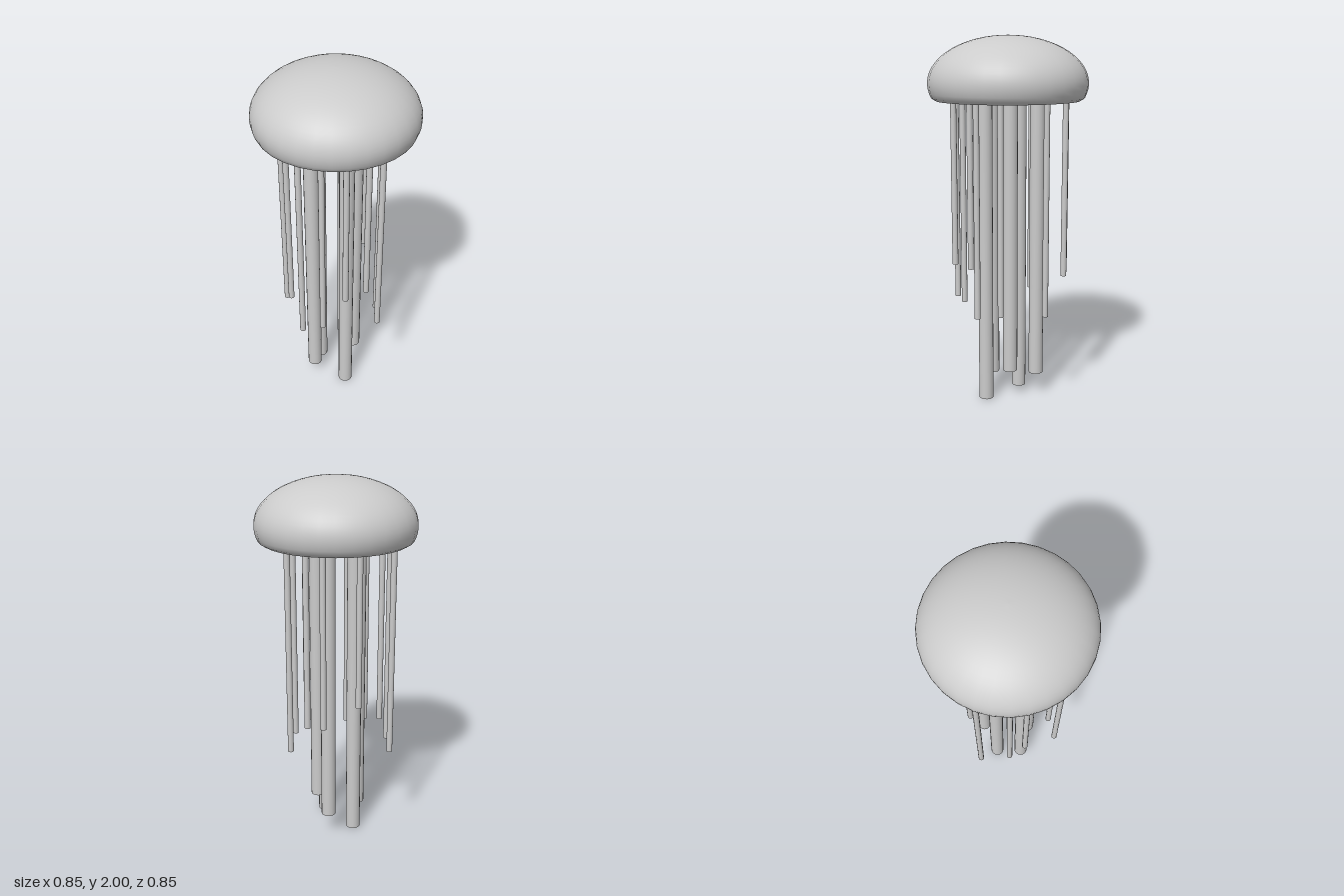
import * as THREE from 'three';

const material = new THREE.MeshStandardMaterial({ color: 0xcccccc });

function add(parent, name, geometry, x = 0, y = 0, z = 0) {
  const mesh = new THREE.Mesh(geometry, material);
  mesh.name = name;
  mesh.position.set(x, y, z);
  parent.add(mesh);
  return mesh;
}

// Tentacles hang straight down; each spec is [x, z, height of the lower end]
function addTentacles(parent, name, specs, radius, sides) {
  const group = new THREE.Group();
  group.name = name + 's';
  const top = 1.68;
  for (const [x, z, bottom] of specs) {
    const length = top - bottom;
    add(group, name, new THREE.CylinderGeometry(radius, radius, length, sides), x, bottom + length / 2, z);
  }
  parent.add(group);
}

export function createModel() {
  const model = new THREE.Group();
  model.name = 'jellyfish';

  // Bell: flattened dome that curls in slightly under its widest line
  const radius = 0.427, centreY = 1.75, height = 0.25, floorY = 1.66, rim = 0.385;
  const profile = [new THREE.Vector2(rim, floorY)];
  const steps = 20, lowest = -0.31;
  for (let i = 0; i <= steps; i++) {
    const a = THREE.MathUtils.lerp(lowest, Math.PI / 2, i / steps);
    profile.push(new THREE.Vector2(Math.max(0, radius * Math.cos(a)), centreY + height * Math.sin(a)));
  }
  add(model, 'bell', new THREE.LatheGeometry(profile, 32));

  // Flat underside of the bell
  add(model, 'bellUnderside', new THREE.CircleGeometry(rim, 32).rotateX(Math.PI / 2), 0, floorY, 0);

  // Thick inner arms
  addTentacles(model, 'innerArm', [
    [0.103, 0, 0.175],
    [0.062, 0.13, 0],
    [-0.124, 0.077, 0.08],
    [-0.098, -0.074, 0],
    [0.042, -0.153, 0.13],
  ], 0.04, 16);

  // Thin outer tentacles, in order around the rim
  addTentacles(model, 'outerTentacle', [
    [0.232, 0.066, 0.53],
    [0.24, 0.19, 0.53],
    [0.173, 0.218, 0.785],
    [0.064, 0.295, 0.785],
    [-0.062, 0.24, 0.53],
    [-0.172, 0.27, 0.53],
    [-0.25, 0.09, 0.61],
    [-0.285, 0, 0.53],
    [-0.293, -0.168, 0.53],
    [-0.12, -0.217, 0.81],
    [0.066, -0.303, 0.725],
    [0.15, -0.285, 0.725],
    [0.248, -0.17, 0.53],
  ], 0.016, 12);

  return model;
}
